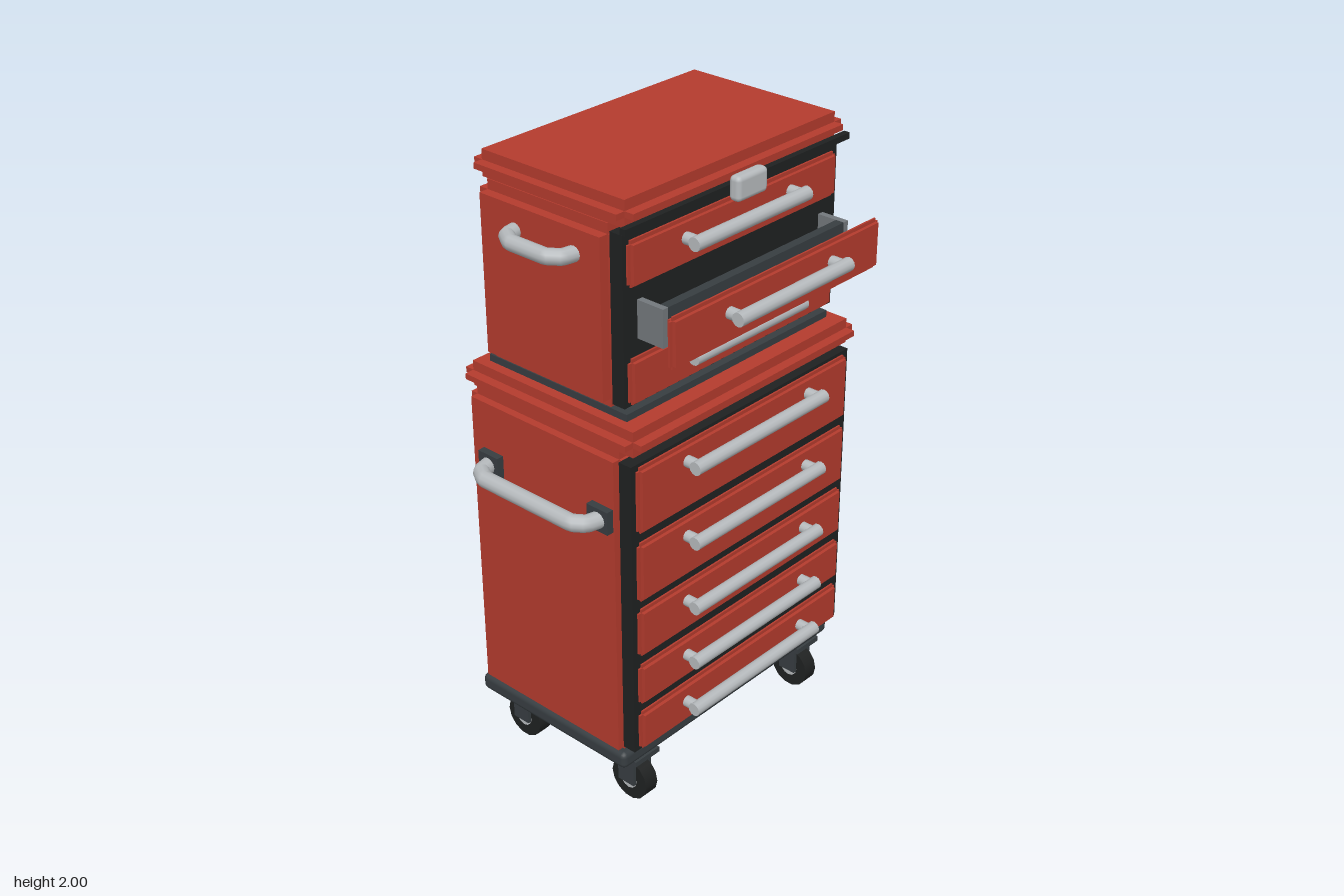
import * as THREE from 'three';
import { mergeGeometries } from 'three/addons/utils/BufferGeometryUtils.js';
import { RoundedBoxGeometry } from 'three/addons/geometries/RoundedBoxGeometry.js';

const material = (name, color) => {
  const m = new THREE.MeshStandardMaterial({ color });
  m.name = name;
  return m;
};

export function createModel() {
  const red = material('red paint', 0xb43b2d);
  const black = material('black trim', 0x1f2121);
  const slate = material('dark slate', 0x373d41);
  const silver = material('silver metal', 0xb6babd);
  const grey = material('grey tray', 0x73787c);

  const model = new THREE.Group();
  model.name = 'toolChest';
  const CX = 0.021; // middle of the cabinets

  const add = (parent, name, geometry, mat) => {
    const mesh = new THREE.Mesh(geometry, mat);
    mesh.name = name;
    parent.add(mesh);
    return mesh;
  };

  const mid = (r) => (r[0] + r[1]) / 2;
  const len = (r) => r[1] - r[0];

  // Plain, rounded and step-edged boxes, each given by its x, y and z ranges
  const box = (parent, name, mat, x, y, z) =>
    add(parent, name, new THREE.BoxGeometry(len(x), len(y), len(z)).translate(mid(x), mid(y), mid(z)), mat);

  const rounded = (parent, name, mat, x, y, z, r) =>
    add(parent, name, new RoundedBoxGeometry(len(x), len(y), len(z), 2, r).translate(mid(x), mid(y), mid(z)), mat);

  const stepped = (parent, name, mat, x, y, z, i) => {
    const w = len(x), h = len(y), d = len(z), s = 2 * i;
    const sizes = [[w, h - s, d - s], [w - s, h, d - s], [w - s, h - s, d]];
    const geometry = mergeGeometries(sizes.map((a) => new THREE.BoxGeometry(...a)));
    return add(parent, name, geometry.translate(mid(x), mid(y), mid(z)), mat);
  };

  const around = (half) => [CX - half, CX + half];

  // Tube through straight segments with cut corners
  const bentTube = (parent, name, points, radius) => {
    const path = new THREE.CurvePath();
    const v = points.map((p) => new THREE.Vector3(...p));
    for (let k = 1; k < v.length; k++) path.add(new THREE.LineCurve3(v[k - 1], v[k]));
    return add(parent, name, new THREE.TubeGeometry(path, 48, radius, 12), silver);
  };

  // Bar pull on two short posts
  const pull = (parent, y, z, half) => {
    const g = new THREE.Group();
    g.name = 'drawerPull';
    g.position.set(CX, y, z);
    parent.add(g);
    add(g, 'bar', new THREE.CylinderGeometry(0.021, 0.021, 2 * half, 12).rotateZ(Math.PI / 2).translate(0, 0, 0.046), silver);
    for (const s of [-1, 1]) {
      add(g, 'post', new THREE.CylinderGeometry(0.018, 0.018, 0.046, 12).rotateX(Math.PI / 2).translate(s * (half - 0.02), 0, 0.023), silver);
    }
  };

  const drawer = (name, halfWidth, y, front, pullY, pullHalf) => {
    const g = new THREE.Group();
    g.name = name;
    model.add(g);
    stepped(g, 'drawerFront', red, around(halfWidth), y, [front - 0.028, front], 0.011);
    pull(g, pullY, front, pullHalf);
    return g;
  };

  // Casters
  for (const x of [-0.367, 0.409]) {
    for (const z of [0.146, -0.315]) {
      const g = new THREE.Group();
      g.name = 'caster';
      g.position.set(x, 0, z);
      model.add(g);
      add(g, 'tyre', new THREE.CylinderGeometry(0.071, 0.071, 0.05, 14).rotateZ(Math.PI / 2).translate(0, 0.071, 0), black);
      add(g, 'hub', new THREE.CylinderGeometry(0.031, 0.031, 0.058, 12).rotateZ(Math.PI / 2).translate(0, 0.071, 0), silver);
      for (const s of [-1, 1]) {
        box(g, 'forkArm', slate, [s * 0.034 - 0.006, s * 0.034 + 0.006], [0.066, 0.155], [-0.032, 0.032]);
      }
      box(g, 'forkCrown', slate, [-0.04, 0.04], [0.146, 0.165], [-0.035, 0.035]);
      box(g, 'mountPlate', slate, [-0.052, 0.052], [0.16, 0.178], [-0.055, 0.055]);
    }
  }

  // Lower cabinet
  rounded(model, 'basePlate', slate, around(0.49), [0.175, 0.232], [-0.42, 0.2], 0.018);
  stepped(model, 'lowerCabinet', red, around(0.487), [0.215, 1.265], [-0.42, 0.2], 0.025);
  box(model, 'lowerFrontFrame', black, around(0.48), [0.26, 1.245], [0.19, 0.235]);
  stepped(model, 'lowerTop', red, around(0.5), [1.27, 1.35], [-0.43, 0.265], 0.031);
  const lowerRows = [
    [0.265, 0.4, 0.342], [0.43, 0.57, 0.515], [0.603, 0.765, 0.71],
    [0.793, 0.99, 0.934], [1.022, 1.235, 1.182],
  ];
  for (const [y0, y1, py] of lowerRows) drawer('lowerDrawer', 0.463, [y0, y1], 0.253, py, 0.288);

  // Upper chest
  box(model, 'chestMat', slate, around(0.437), [1.348, 1.372], [-0.36, 0.182]);
  stepped(model, 'upperChest', red, around(0.464), [1.367, 1.917], [-0.367, 0.15], 0.031);
  box(model, 'upperFrontFrame', black, around(0.448), [1.395, 1.905], [0.14, 0.185]);
  stepped(model, 'lid', red, around(0.466), [1.92, 2], [-0.382, 0.214], 0.031);
  box(model, 'lidSeal', black, around(0.467), [1.917, 1.936], [0.195, 0.215]);
  drawer('upperDrawer', 0.434, [1.75, 1.885], 0.202, 1.83, 0.239);
  drawer('upperDrawer', 0.434, [1.4, 1.54], 0.202, 1.491, 0.239);

  // Pulled-out drawer with its open tray
  const open = drawer('openDrawer', 0.444, [1.566, 1.72], 0.358, 1.66, 0.239);
  const [tx0, tx1] = around(0.394);
  box(open, 'trayFloor', grey, [tx0, tx1], [1.59, 1.605], [0.16, 0.278]);
  box(open, 'traySide', grey, [tx0, tx0 + 0.02], [1.59, 1.705], [0.16, 0.278]);
  box(open, 'traySide', grey, [tx1 - 0.02, tx1], [1.59, 1.705], [0.16, 0.278]);
  box(open, 'trayFrontWall', slate, [tx0 + 0.02, tx1 - 0.02], [1.59, 1.705], [0.25, 0.278]);

  // Latch and hinges
  rounded(model, 'latch', silver, around(0.063), [1.89, 1.965], [0.212, 0.252], 0.015);
  for (const x of [-0.295, 0.338]) {
    rounded(model, 'hinge', silver, [x - 0.061, x + 0.061], [1.88, 1.967], [-0.412, -0.375], 0.012);
  }

  // Carry handles on both ends of the chest
  for (const s of [-1, 1]) {
    const p = (out, z) => [CX + s * out, 1.812, z];
    bentTube(model, s > 0 ? 'leftCarryHandle' : 'rightCarryHandle', [
      p(0.455, -0.203), p(0.5, -0.195), p(0.526, -0.155),
      p(0.526, -0.02), p(0.5, 0.016), p(0.455, 0.024),
    ], 0.0235);
  }

  // Push handle on the cabinet's side
  const q = (x, z) => [x, 1.05, z];
  bentTube(model, 'pushHandle', [
    q(-0.475, -0.315), q(-0.525, -0.303), q(-0.549, -0.265),
    q(-0.549, 0.09), q(-0.525, 0.125), q(-0.475, 0.137),
  ], 0.026);
  for (const z of [-0.311, 0.131]) {
    box(model, 'handleMount', slate, [-0.49, -0.464], [1.013, 1.087], [z - 0.04, z + 0.04]);
  }

  return model;
}
